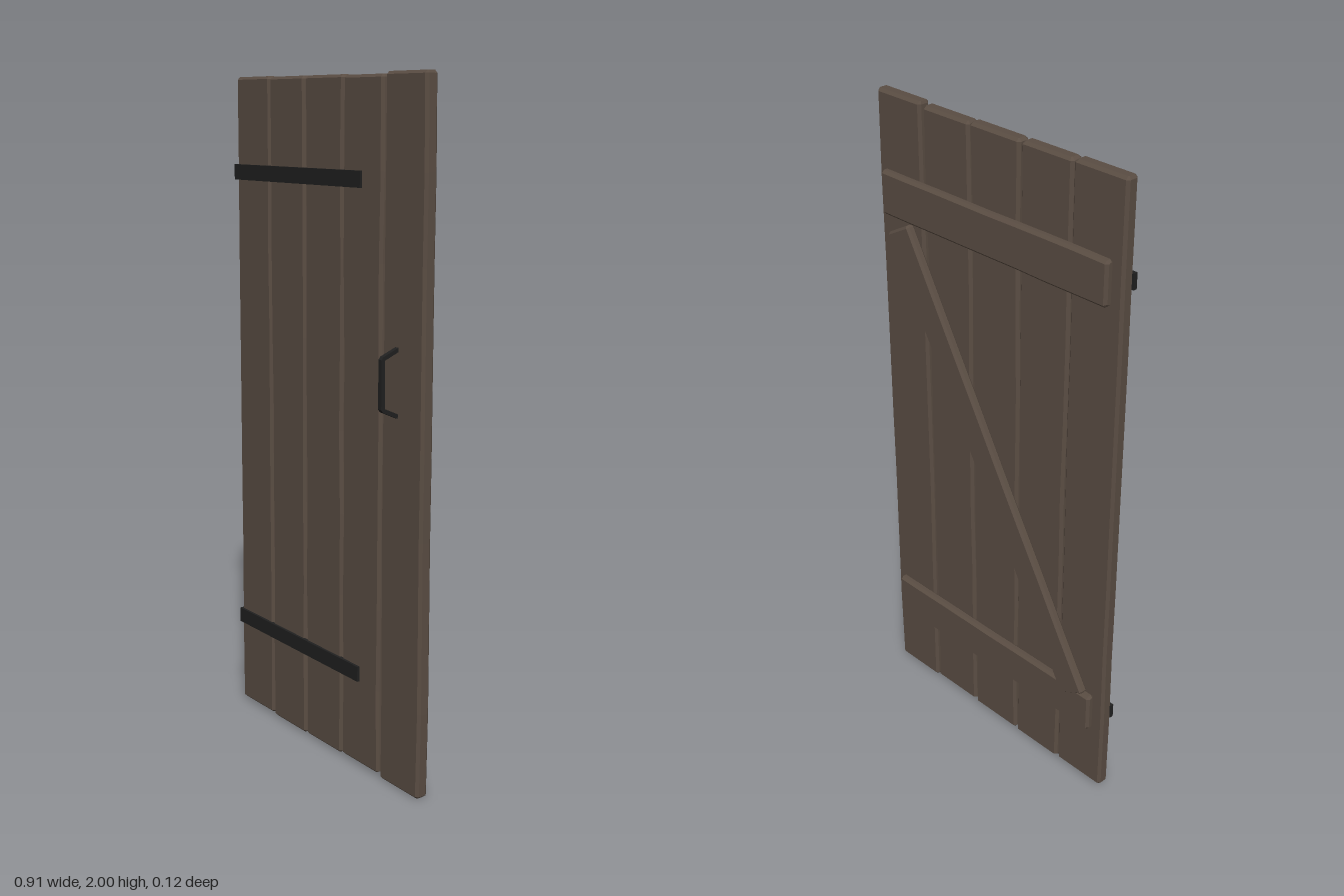
import * as THREE from 'three';

// small seeded noise in -1..1
function makeNoise(seed) {
  let s = seed;
  return () => {
    s = (s * 16807) % 2147483647;
    return (s / 2147483647) * 2 - 1;
  };
}

// Chamfered board along y, centred, with slightly wavy long edges
function boardGeometry(width, height, depth, chamfer, wobble, seed) {
  const noise = makeNoise(seed);
  const spans = 8;
  const rings = [{ y: -height / 2, inset: chamfer }];
  for (let i = 0; i <= spans; i++) {
    rings.push({ y: (i / spans - 0.5) * (height - 2 * chamfer), inset: 0 });
  }
  rings.push({ y: height / 2, inset: chamfer });

  const pos = [], index = [];
  for (const { y, inset } of rings) {
    const r = width / 2 - inset + noise() * wobble;
    const l = -width / 2 + inset + noise() * wobble;
    const d = depth / 2 - inset;
    const c = inset ? chamfer / 3 : chamfer;
    const loop = [[r, c - d], [r, d - c], [r - c, d], [l + c, d], [l, d - c], [l, c - d], [l + c, -d], [r - c, -d]];
    for (const [x, z] of loop) pos.push(x, y, z);
  }
  for (let k = 0; k < rings.length - 1; k++) {
    for (let i = 0; i < 8; i++) {
      const a = k * 8 + i, b = k * 8 + (i + 1) % 8;
      index.push(a, a + 8, b, b, a + 8, b + 8);
    }
  }
  const top = (rings.length - 1) * 8;
  for (let i = 1; i < 7; i++) {
    index.push(0, i, i + 1, top, top + i + 1, top + i);
  }
  const indexed = new THREE.BufferGeometry();
  indexed.setAttribute('position', new THREE.Float32BufferAttribute(pos, 3));
  indexed.setIndex(index);
  const geo = indexed.toNonIndexed();
  geo.computeVertexNormals();
  return geo;
}

export function createModel() {
  const wood = new THREE.MeshStandardMaterial({ color: 0x5a4d43 });
  const iron = new THREE.MeshStandardMaterial({ color: 0x202020 });
  const model = new THREE.Group();
  model.name = 'plankDoor';

  function add(name, geometry, material, x, y, z, parent = model) {
    const mesh = new THREE.Mesh(geometry, material);
    mesh.name = name;
    mesh.position.set(x, y, z);
    parent.add(mesh);
    return mesh;
  }

  // Upright planks: left edge, right edge, bottom, top
  const planks = [
    [-0.454, -0.277, 0.006, 1.998],
    [-0.272, -0.097, 0.002, 1.996],
    [-0.092, 0.087, 0.004, 1.996],
    [0.091, 0.267, 0.008, 1.994],
    [0.275, 0.452, 0, 2],
  ];
  planks.forEach(([x0, x1, y0, y1], i) => {
    add('plank' + (i + 1), boardGeometry(x1 - x0, y1 - y0, 0.04, 0.008, 0.003, 101 + i * 977),
      wood, (x0 + x1) / 2, (y0 + y1) / 2, -0.017);
  });

  // Cross battens on the back
  for (const [name, y] of [['upperBatten', 1.715], ['lowerBatten', 0.295]]) {
    const batten = add(name, boardGeometry(0.13, 0.84, 0.028, 0.008, 0.001, 55), wood, 0, y, -0.049);
    batten.rotation.z = Math.PI / 2;
  }

  // Diagonal brace between the battens
  const from = new THREE.Vector2(-0.35, 0.335), to = new THREE.Vector2(0.36, 1.62);
  const run = to.clone().sub(from);
  const brace = add('diagonalBrace', boardGeometry(0.1, run.length(), 0.028, 0.007, 0.001, 77),
    wood, (from.x + to.x) / 2, (from.y + to.y) / 2, -0.05);
  brace.rotation.z = -Math.atan2(run.x, run.y);

  // Iron hinge straps on the front
  for (const [name, y] of [['upperHingeStrap', 1.717], ['lowerHingeStrap', 0.291]]) {
    add(name, new THREE.BoxGeometry(0.636, 0.046, 0.012), iron, -0.138, y, 0.005);
  }

  // Bent pull handle: side profile in (z, y), extruded across x
  const profile = [
    [0, 1.278], [0.054, 1.256], [0.06, 1.248], [0.06, 1.112], [0.054, 1.104], [0, 1.08],
    [0, 1.093], [0.048, 1.114], [0.048, 1.246], [0, 1.266],
  ];
  const shape = new THREE.Shape(profile.map(([z, y]) => new THREE.Vector2(-z, y)));
  const handleGeo = new THREE.ExtrudeGeometry(shape, { depth: 0.014, bevelEnabled: false });
  handleGeo.translate(0, 0, -0.007);
  handleGeo.rotateY(Math.PI / 2);
  add('pullHandle', handleGeo, iron, 0.339, 0, 0);

  return model;
}
